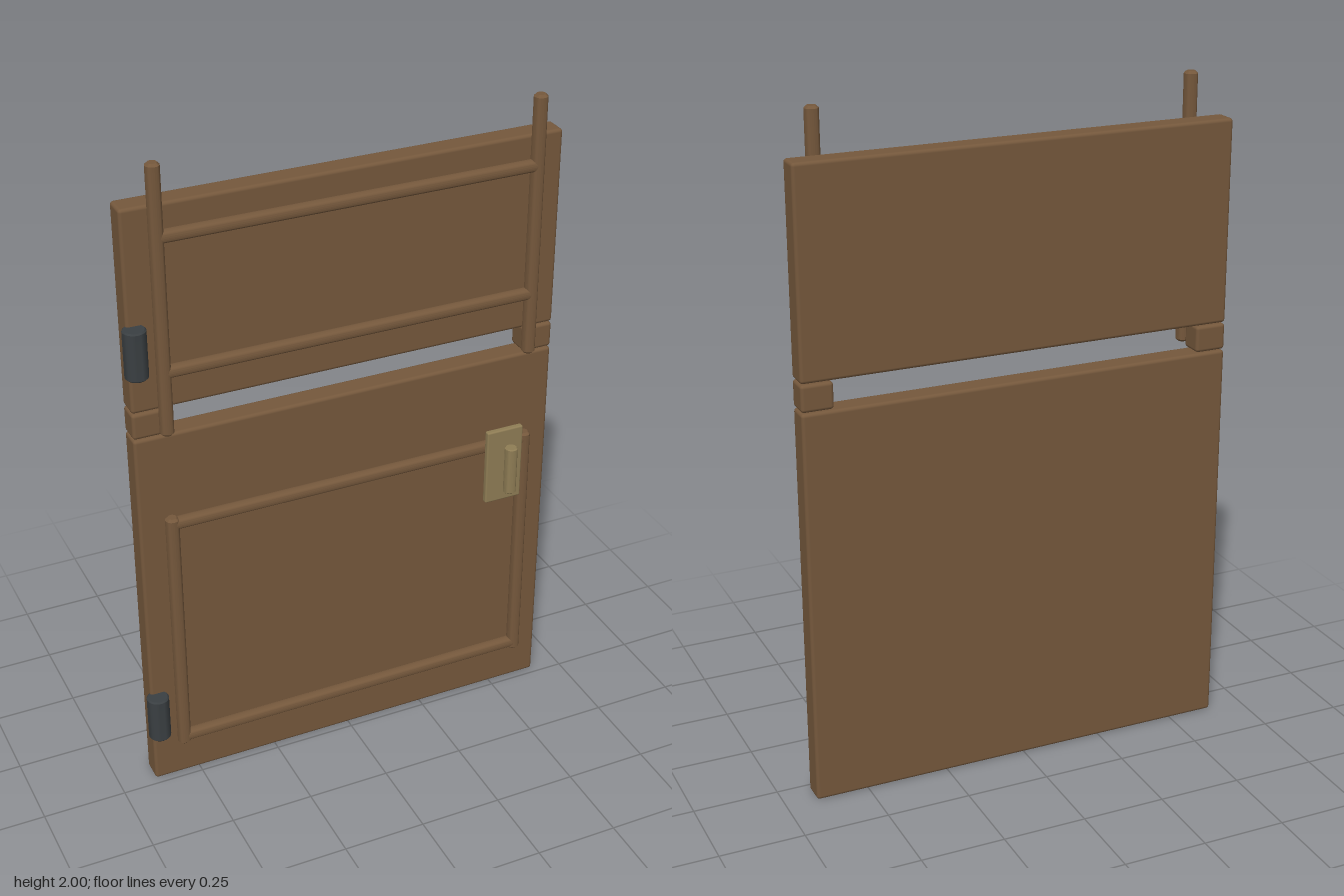
import * as THREE from 'three';
import { RoundedBoxGeometry } from 'three/addons/geometries/RoundedBoxGeometry.js';
import { toCreasedNormals } from 'three/addons/utils/BufferGeometryUtils.js';

const wood = new THREE.MeshStandardMaterial({ color: 0x75583c });
const brass = new THREE.MeshStandardMaterial({ color: 0x8f7d55 });
const iron = new THREE.MeshStandardMaterial({ color: 0x3a3f42 });

// Softly edged box given by its limits
function slab(name, [x0, x1], [y0, y1], [z0, z1], bevel, material) {
  const geometry = new RoundedBoxGeometry(x1 - x0, y1 - y0, z1 - z0, 2, bevel);
  const mesh = new THREE.Mesh(geometry, material);
  mesh.name = name;
  mesh.position.set((x0 + x1) / 2, (y0 + y1) / 2, (z0 + z1) / 2);
  return mesh;
}

// Upright round bar with chamfered ends
function bar(name, radius, length, bevel, material) {
  const h = length / 2;
  const profile = [
    [0, -h], [radius - bevel, -h], [radius, -h + bevel],
    [radius, h - bevel], [radius - bevel, h], [0, h],
  ].map(([x, y]) => new THREE.Vector2(x, y));
  const geometry = toCreasedNormals(new THREE.LatheGeometry(profile, 24), 0.6);
  const mesh = new THREE.Mesh(geometry, material);
  mesh.name = name;
  return mesh;
}

// Two uprights joined by two rails
function railFrame(name, bottom, top, railHeights) {
  const frame = new THREE.Group();
  frame.name = name;
  for (const side of [-1, 1]) {
    const post = bar('upright', 0.02, top - bottom, 0.007, wood);
    post.position.set(0.008 + side * 0.56, (bottom + top) / 2, 0);
    frame.add(post);
  }
  for (const y of railHeights) {
    const rail = bar('rail', 0.0185, 1.12, 0.006, wood);
    rail.rotation.z = Math.PI / 2;
    rail.position.set(0.008, y, 0);
    frame.add(rail);
  }
  return frame;
}

export function createModel() {
  const door = new THREE.Group();
  door.name = 'door';
  const width = [-0.642, 0.658];
  const depth = [-0.093, -0.021];

  // Door panels and the spacer blocks in the gap between them
  door.add(slab('lowerPanel', width, [0, 1.19], depth, 0.01, wood));
  door.add(slab('upperPanel', width, [1.275, 1.875], depth, 0.01, wood));
  door.add(slab('spacerRight', [-0.642, -0.548], [1.193, 1.272], depth, 0.01, wood));
  door.add(slab('spacerLeft', [0.564, 0.658], [1.193, 1.272], depth, 0.01, wood));

  // Raised bar frames on the front
  door.add(railFrame('lowerFrame', 0.133, 0.935, [0.156, 0.913]));
  door.add(railFrame('upperFrame', 1.205, 2, [1.397, 1.792]));

  // Hinge barrels
  for (const y of [0.247, 1.467]) {
    const hinge = bar('hinge', 0.033, 0.146, 0.004, iron);
    hinge.position.set(-0.625, y, -0.007);
    door.add(hinge);
  }

  // Lock plate and grip
  door.add(slab('handlePlate', [0.427, 0.545], [0.735, 0.979], [0.018, 0.037], 0.005, brass));
  const grip = bar('handleGrip', 0.019, 0.154, 0.003, brass);
  grip.position.set(0.486, 0.862, 0.074);
  door.add(grip);
  return door;
}
